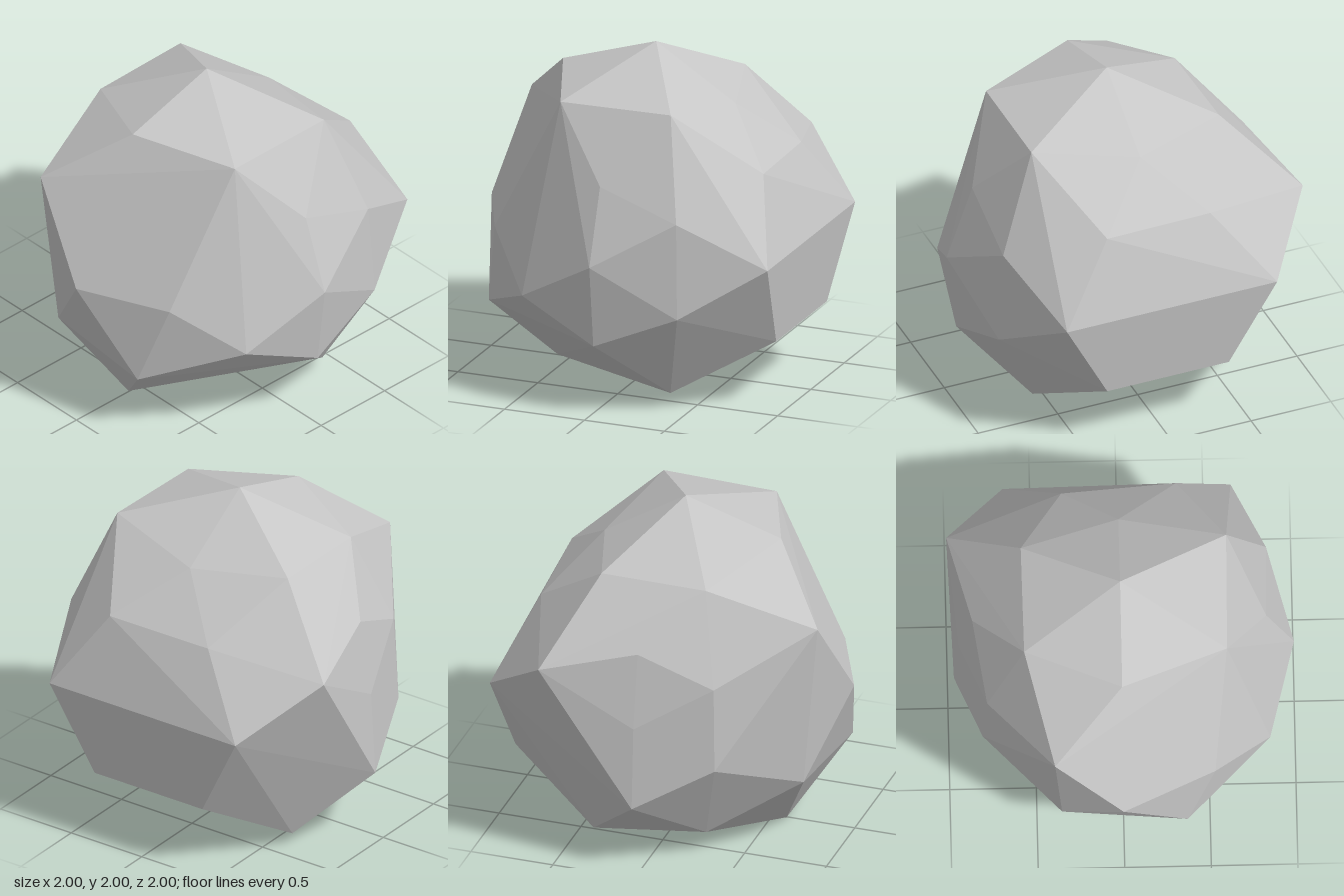
import * as THREE from 'three';
import { ConvexGeometry } from 'three/addons/geometries/ConvexGeometry.js';

// Radial factor of each boulder corner, grouped by its dominant axis and
// keyed by the signs of its x, y and z direction. Directions without an
// entry have no corner: broad flat facets span them.
const RADII = {
  x: {
    '-00': 0.91,
    '+0+': 1.01, '+0-': 1.01, '-0+': 0.82,
    '+++': 0.89, '++-': 0.845, '+-+': 0.995, '+--': 0.995,
    '-+-': 1.03, '--+': 0.975, '---': 0.92,
  },
  y: {
    '0+0': 1.005,
    '++0': 0.835, '-+0': 0.98, '--0': 1.036,
    '+++': 1.0, '++-': 0.915, '-++': 0.985, '-+-': 0.905,
    '+-+': 0.985, '+--': 1.0, '---': 0.925,
  },
  z: {
    '00+': 0.81, '00-': 0.75,
    '0++': 0.8, '0-+': 0.895, '0+-': 0.81, '0--': 0.91,
    '+++': 0.85, '++-': 0.99, '+-+': 0.885,
    '-+-': 0.775, '--+': 0.855, '---': 0.8,
  },
};

const sign = (v) => (v > 0.01 ? '+' : v < -0.01 ? '-' : '0');

// Corners: directions of a subdivided icosahedron, pushed in or out, then stretched
function boulderCorners() {
  const stretch = new THREE.Vector3(1.13, 1.06, 1.24);
  const centre = new THREE.Vector3(0.03, 0.935, -0.005);
  const pos = new THREE.IcosahedronGeometry(1, 1).attributes.position;
  const corners = new Map();
  for (let i = 0; i < pos.count; i++) {
    const p = new THREE.Vector3().fromBufferAttribute(pos, i);
    const ax = Math.abs(p.x), ay = Math.abs(p.y), az = Math.abs(p.z);
    const axis = ax > ay && ax > az ? 'x' : ay > az ? 'y' : 'z';
    const signs = sign(p.x) + sign(p.y) + sign(p.z);
    const radius = RADII[axis][signs];
    if (radius) corners.set(axis + signs, p.multiplyScalar(radius).multiply(stretch).add(centre));
  }
  return [...corners.values()];
}

export function createModel() {
  const group = new THREE.Group();
  group.name = 'rock';

  const stone = new THREE.MeshStandardMaterial({ color: 0xc6c6c6 });
  stone.name = 'stone grey';

  // Boulder: flat facets wrapped around the corners
  const boulder = new THREE.Mesh(new ConvexGeometry(boulderCorners()), stone);
  boulder.name = 'boulder';
  group.add(boulder);
  return group;
}
